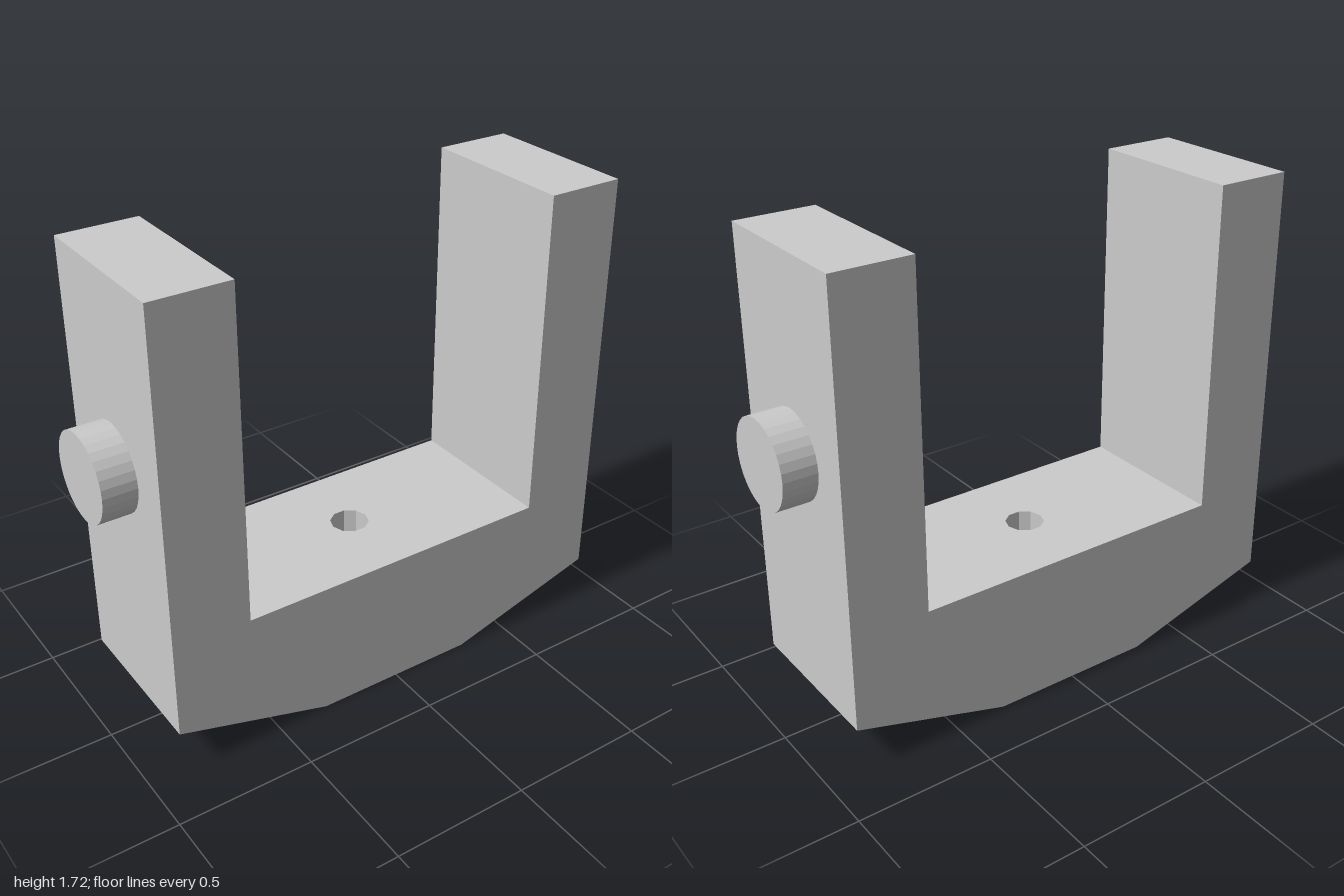
import * as THREE from 'three';

const HALF_DEPTH = 0.297, INNER = 0.595, OUTER = 0.88, FLOOR = 0.51, TOP = 1.715;
const AXIS_Z = -0.005; // axis shared by the pins and the floor hole
const HOLE_RADIUS = 0.07, HOLE_DEPTH = 0.25, HOLE_SIDES = 10;
const PIN_RADIUS = 0.155, PIN_Y = 1.045;

// Walls swept front to back along an open, counter-clockwise profile
function sweepWalls(points, d) {
  const pos = [];
  for (let i = 0; i < points.length - 1; i++) {
    const [ax, ay] = points[i], [bx, by] = points[i + 1];
    pos.push(ax, ay, d, ax, ay, -d, bx, by, -d);
    pos.push(ax, ay, d, bx, by, -d, bx, by, d);
  }
  const g = new THREE.BufferGeometry();
  g.setAttribute('position', new THREE.Float32BufferAttribute(pos, 3));
  g.computeVertexNormals();
  return g;
}

export function createModel() {
  const group = new THREE.Group();
  const mat = new THREE.MeshStandardMaterial({ color: 0xcccccc, flatShading: true });
  const inside = mat.clone();
  inside.side = THREE.BackSide;

  const add = (name, geometry, parent = group, material = mat) => {
    const mesh = new THREE.Mesh(geometry, material);
    mesh.name = name;
    parent.add(mesh);
    return mesh;
  };

  // Fork profile, running from one end of the inner floor round to the other
  const half = [[0.305, 0], [OUTER, 0.165], [OUTER, TOP], [INNER, TOP], [INNER, FLOOR]];
  const profile = [...half.map(([x, y]) => [-x, y]).reverse(), ...half];

  const fork = new THREE.Group();
  fork.name = 'fork';
  group.add(fork);
  add('forkWalls', sweepWalls(profile, HALF_DEPTH), fork);

  // Front and back faces
  const outline = new THREE.Shape(profile.map(([x, y]) => new THREE.Vector2(x, y)));
  add('frontFace', new THREE.ShapeGeometry(outline).translate(0, 0, HALF_DEPTH), fork);
  add('backFace', new THREE.ShapeGeometry(outline).rotateY(Math.PI).translate(0, 0, -HALF_DEPTH), fork);

  // Inner floor, pierced by the mounting hole
  const floor = new THREE.Shape([
    [-INNER, -HALF_DEPTH], [INNER, -HALF_DEPTH], [INNER, HALF_DEPTH], [-INNER, HALF_DEPTH],
  ].map(([x, y]) => new THREE.Vector2(x, y)));
  const rim = [];
  for (let i = 0; i < HOLE_SIDES; i++) {
    const a = -i / HOLE_SIDES * Math.PI * 2;
    rim.push(new THREE.Vector2(HOLE_RADIUS * Math.cos(a), HOLE_RADIUS * Math.sin(a) - AXIS_Z));
  }
  floor.holes.push(new THREE.Path(rim));
  add('innerFloor', new THREE.ShapeGeometry(floor).rotateX(-Math.PI / 2).translate(0, FLOOR, 0), fork);

  // Blind hole: wall seen from inside, and its bottom
  const wall = new THREE.CylinderGeometry(HOLE_RADIUS, HOLE_RADIUS, HOLE_DEPTH, HOLE_SIDES, 1, true, Math.PI / 2);
  add('holeWall', wall, fork, inside).position.set(0, FLOOR - HOLE_DEPTH / 2, AXIS_Z);
  const bottom = new THREE.CircleGeometry(HOLE_RADIUS, HOLE_SIDES).rotateX(-Math.PI / 2);
  add('holeBottom', bottom, fork).position.set(0, FLOOR - HOLE_DEPTH, AXIS_Z);

  // Pivot pins on the outside of both arms
  for (const [name, side] of [['leftPin', 1], ['rightPin', -1]]) {
    const pin = new THREE.CylinderGeometry(PIN_RADIUS, PIN_RADIUS, 1 - OUTER, 32).rotateZ(Math.PI / 2);
    add(name, pin).position.set(side * (1 + OUTER) / 2, PIN_Y, AXIS_Z);
  }

  return group;
}
